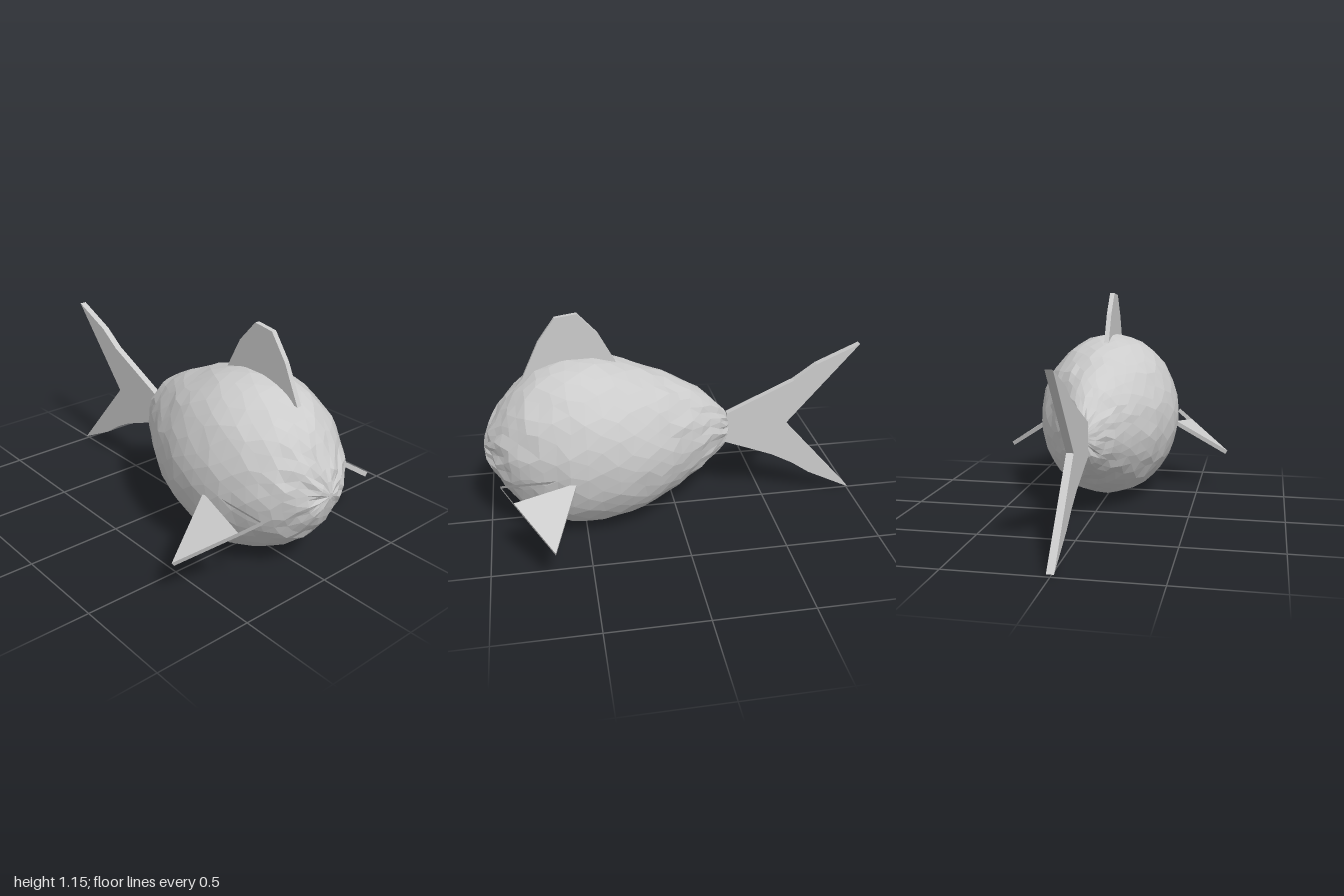
import * as THREE from 'three';

const material = new THREE.MeshStandardMaterial({ color: 0xcccccc, flatShading: true, side: THREE.DoubleSide });

function addMesh(parent, name, geometry) {
  const mesh = new THREE.Mesh(geometry, material);
  mesh.name = name;
  parent.add(mesh);
  return mesh;
}

// Flat plate with straight edges, centred on its own plane
function plate(points, thickness) {
  const shape = new THREE.Shape(points.map(([x, y]) => new THREE.Vector2(x, y)));
  return new THREE.ExtrudeGeometry(shape, { depth: thickness, bevelEnabled: false })
    .translate(0, 0, -thickness / 2);
}

// Faceted egg: elliptical rings along x, slightly jittered
function bodyGeometry() {
  // x, bottom, top, half width
  const stations = [
    [-0.29, 0.41, 0.51, 0.02], [-0.27, 0.36, 0.55, 0.05], [-0.2, 0.29, 0.63, 0.115], [-0.1, 0.215, 0.705, 0.185],
    [0, 0.15, 0.765, 0.245], [0.1, 0.095, 0.81, 0.3], [0.2, 0.05, 0.85, 0.342], [0.32, 0.02, 0.89, 0.377],
    [0.45, 0.002, 0.915, 0.39], [0.55, 0.003, 0.912, 0.386], [0.65, 0.035, 0.89, 0.362], [0.75, 0.085, 0.835, 0.323],
    [0.83, 0.145, 0.765, 0.277], [0.9, 0.225, 0.68, 0.21], [0.95, 0.305, 0.6, 0.135], [0.985, 0.385, 0.52, 0.06],
    [1, 0.44, 0.47, 0.01],
  ];
  const rings = 24, segments = 28;
  let seed = 7;
  const jitter = (size) => {
    seed = (seed * 16807) % 2147483647;
    return (seed / 2147483647 - 0.5) * size;
  };
  // Sample the stations evenly along their length
  const curve = new THREE.CatmullRomCurve3(stations.map(([x, low, high]) => new THREE.Vector3(x, high, low)));
  const widths = new THREE.CatmullRomCurve3(stations.map(([x, , , w]) => new THREE.Vector3(x, w, 0)));
  const positions = [], indices = [];
  for (let i = 0; i <= rings; i++) {
    const t = curve.getUtoTmapping(i / rings);
    const p = curve.getPoint(t), w = widths.getPoint(t).y;
    const ry = (p.y - p.z) / 2, cy = (p.y + p.z) / 2;
    for (let j = 0; j < segments; j++) {
      const a = ((j + (i % 2) / 2 + jitter(0.4)) / segments) * Math.PI * 2;
      const k = 1 + jitter(0.018);
      const x = p.x + (i > 0 && i < rings ? jitter(0.022) : 0);
      positions.push(x, cy + Math.cos(a) * ry * k, Math.sin(a) * w * k);
      if (i === rings) continue;
      const n = (j + 1) % segments;
      const A = i * segments + j, B = i * segments + n, C = A + segments, D = B + segments;
      if (i % 2) indices.push(A, B, D, A, D, C);
      else indices.push(A, B, C, B, D, C);
    }
  }
  // End caps
  for (let j = 1; j < segments - 1; j++) {
    const e = rings * segments;
    indices.push(0, j + 1, j, e, e + j, e + j + 1);
  }
  const geometry = new THREE.BufferGeometry();
  geometry.setAttribute('position', new THREE.Float32BufferAttribute(positions, 3));
  geometry.setIndex(indices);
  geometry.computeVertexNormals();
  return geometry;
}

// Thin open wall that follows a line of points
function rimGeometry(points, thickness) {
  const positions = [], indices = [], h = thickness / 2;
  points.forEach(([x, y], i) => {
    positions.push(x, y, -h, x, y, h);
    if (i) indices.push(2 * i - 2, 2 * i, 2 * i + 1, 2 * i - 2, 2 * i + 1, 2 * i - 1);
  });
  const geometry = new THREE.BufferGeometry();
  geometry.setAttribute('position', new THREE.Float32BufferAttribute(positions, 3));
  geometry.setIndex(indices);
  geometry.computeVertexNormals();
  return geometry;
}

// Side fin sloping down and outwards, with an open rim at its root
function sideFin(side) {
  const fin = new THREE.Group();
  fin.name = side > 0 ? 'frontSideFin' : 'backSideFin';
  const out = new THREE.Vector3(0, -0.551, 0.834 * side);
  const along = new THREE.Vector3(1, 0, 0);
  addMesh(fin, 'finBlade', plate([[0.55, 0.02], [0.86, 0.096], [0.68, 0.372]], 0.024));
  addMesh(fin, 'finRim', rimGeometry([[0.86, 0.096], [0.92, 0], [0.55, 0], [0.55, 0.02]], 0.024));
  const basis = new THREE.Matrix4().makeBasis(along, out, along.clone().cross(out));
  fin.quaternion.setFromRotationMatrix(basis);
  fin.position.set(0, 0.41, 0.35 * side);
  return fin;
}

export function createModel() {
  const fish = new THREE.Group();
  fish.name = 'fish';
  addMesh(fish, 'body', bodyGeometry());

  addMesh(fish, 'dorsalFin', plate([
    [0.3, 0.87], [0.78, 0.82], [0.69, 1.01], [0.6, 1.135], [0.49, 1.15], [0.39, 1.04],
  ], 0.026));

  addMesh(fish, 'tailFin', plate([
    [-0.99, 0.89], [-0.76, 0.79], [-0.64, 0.705], [-0.4, 0.595], [-0.28, 0.54], [-0.27, 0.37],
    [-0.4, 0.32], [-0.54, 0.265], [-0.66, 0.2], [-0.76, 0.13], [-1, 0.01], [-0.61, 0.455],
  ], 0.036));

  for (const side of [1, -1]) fish.add(sideFin(side));
  return fish;
}
